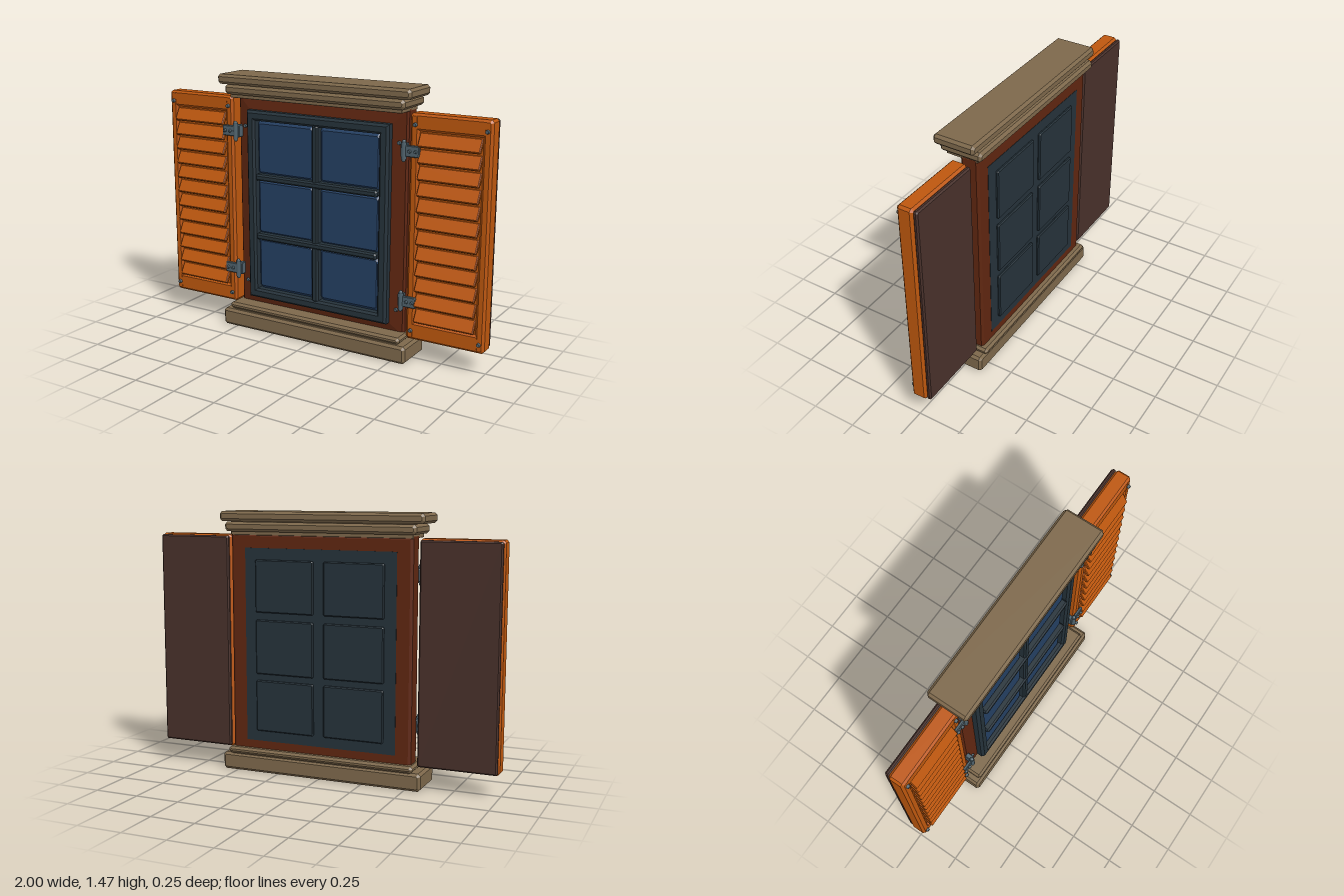
import * as THREE from 'three';

const mat = (name, color) => {
  const m = new THREE.MeshStandardMaterial({ color });
  m.name = name;
  return m;
};

// Box with chamfered edges, centred on the origin
function chamferBox(w, h, d, c) {
  const s = new THREE.Shape();
  const x = w / 2, y = h / 2, k = c;
  s.moveTo(-x + k, -y).lineTo(x - k, -y).lineTo(x, -y + k).lineTo(x, y - k);
  s.lineTo(x - k, y).lineTo(-x + k, y).lineTo(-x, y - k).lineTo(-x, -y + k);
  s.closePath();
  const g = new THREE.ExtrudeGeometry(s, {
    depth: d - 2 * c, bevelEnabled: true, bevelThickness: c, bevelSize: c, bevelOffset: -c, bevelSegments: 1,
  });
  return g.translate(0, 0, -d / 2 + c);
}

// Mitred rectangular frame: closed loop of rings [half width, bottom, top, z]
function mitredFrame(rings) {
  const pos = [];
  const corners = rings.map(([w, y0, y1, z]) => [[-w, y0, z], [w, y0, z], [w, y1, z], [-w, y1, z]]);
  corners.forEach((ring, i) => {
    const next = corners[(i + 1) % corners.length];
    for (let k = 0; k < 4; k++) {
      const n = (k + 1) % 4;
      pos.push(...ring[k], ...ring[n], ...next[n], ...ring[k], ...next[n], ...next[k]);
    }
  });
  const g = new THREE.BufferGeometry();
  g.setAttribute('position', new THREE.Float32BufferAttribute(pos, 3));
  g.computeVertexNormals();
  return g;
}

export function createModel() {
  const stone = mat('stone', 0x7d684b);
  const orange = mat('orange wood', 0xbd570e);
  const brown = mat('red brown wood', 0x5f2610);
  const dark = mat('dark brown backing', 0x48302a);
  const slate = mat('dark slate paint', 0x25323a);
  const glass = mat('blue glass', 0x243f62);
  const metal = mat('grey metal', 0x4f626c);

  const model = new THREE.Group();
  model.name = 'shutteredWindow';
  const add = (parent, name, geo, material, x = 0, y = 0, z = 0) => {
    const m = new THREE.Mesh(geo, material);
    m.name = name;
    m.position.set(x, y, z);
    parent.add(m);
    return m;
  };
  // Box given by its limits
  const block = (parent, name, material, x0, x1, y0, y1, z0, z1, c) =>
    add(parent, name, chamferBox(x1 - x0, y1 - y0, z1 - z0, c), material,
      (x0 + x1) / 2, (y0 + y1) / 2, (z0 + z1) / 2);
  const bolt = (parent, name, x, y, z, r = 0.012, len = 0.014) =>
    add(parent, name, new THREE.CylinderGeometry(r * 0.75, r, len, 8).rotateX(Math.PI / 2), metal, x, y, z + len / 2);

  // Stone lintel and sill, two courses each
  block(model, 'lintelCap', stone, -0.595, 0.595, 1.41, 1.465, -0.11, 0.125, 0.014);
  block(model, 'lintelBase', stone, -0.555, 0.555, 1.355, 1.408, -0.123, 0.115, 0.014);
  block(model, 'sillLedge', stone, -0.55, 0.55, 0.1, 0.137, -0.123, 0.112, 0.013);
  block(model, 'sillBase', stone, -0.59, 0.59, 0, 0.098, -0.11, 0.125, 0.014);
  block(model, 'sillJoint', stone, -0.53, 0.53, 0.09, 0.11, -0.1, 0.1, 0.002);
  block(model, 'lintelJoint', stone, -0.53, 0.53, 1.335, 1.42, -0.09, 0.09, 0.002);

  // Outer mitred window frame
  add(model, 'outerFrame', mitredFrame([
    [0.53, 0.11, 1.345, -0.078], [0.53, 0.11, 1.345, 0.0], [0.52, 0.12, 1.335, 0.012],
    [0.44, 0.185, 1.26, 0.025], [0.44, 0.185, 1.26, -0.088], [0.515, 0.125, 1.33, -0.088],
  ]), brown);
  for (const s of [-1, 1]) for (const y of [0.26, 1.17]) bolt(model, 'frameBolt', s * 0.483, y, 0.014);

  // Sash with back board
  add(model, 'sash', mitredFrame([
    [0.445, 0.18, 1.268, -0.08], [0.445, 0.18, 1.268, 0.055], [0.432, 0.193, 1.255, 0.07],
    [0.402, 0.223, 1.225, 0.07], [0.39, 0.235, 1.213, 0.058], [0.39, 0.235, 1.213, -0.08],
  ]), slate);
  add(model, 'sashBack', new THREE.BoxGeometry(0.886, 1.084, 0.1), slate, 0, 0.724, -0.04);

  // Panes in front, matching raised panels behind
  const rows = [[0.235, 0.54], [0.56, 0.88], [0.905, 1.213]];
  for (const [y0, y1] of rows) {
    for (const s of [-1, 1]) {
      const a = s < 0 ? -0.392 : 0.015, b = s < 0 ? -0.015 : 0.392;
      block(model, 'pane', glass, a, b, y0, y1, 0, 0.042, 0.018);
      block(model, 'backPanel', slate, a + 0.015, b - 0.015, y0 + 0.006, y1 - 0.01, -0.104, -0.085, 0.006);
    }
  }

  // Glazing bars
  block(model, 'verticalBar', slate, -0.02, 0.02, 0.225, 1.222, 0, 0.068, 0.009);
  for (const y of [0.552, 0.895]) block(model, 'horizontalBar', slate, -0.385, 0.385, y - 0.018, y + 0.018, 0, 0.074, 0.009);

  // One open louvred shutter on each side
  for (const s of [-1, 1]) {
    const shutter = new THREE.Group();
    shutter.name = s > 0 ? 'leftShutter' : 'rightShutter';
    model.add(shutter);
    const part = (name, material, x0, x1, y0, y1, z0, z1, c) =>
      block(shutter, name, material, Math.min(s * x0, s * x1), Math.max(s * x0, s * x1), y0, y1, z0, z1, c);

    part('panel', orange, 0.59, 0.97, 0.18, 1.28, -0.045, 0.026, 0.003);
    part('innerStile', orange, 0.553, 0.605, 0.12, 1.335, -0.048, 0.042, 0.013);
    part('outerStile', orange, 0.948, 1.0, 0.12, 1.335, -0.048, 0.042, 0.013);
    part('bottomRail', orange, 0.56, 0.993, 0.12, 0.218, -0.048, 0.041, 0.012);
    part('topRail', orange, 0.56, 0.993, 1.245, 1.335, -0.048, 0.041, 0.012);
    part('backing', dark, 0.56, 0.993, 0.127, 1.328, -0.072, -0.046, 0.008);

    // Slats lean out at the bottom
    for (let i = 0; i < 12; i++) {
      const slat = add(shutter, 'slat', chamferBox(0.338, 0.076, 0.022, 0.004), orange,
        s * 0.777, 0.217 + (i + 0.5) * 0.0856, 0.042);
      slat.rotation.x = -0.5;
    }
    for (const x of [0.583, 0.972]) for (const y of [0.17, 1.277]) bolt(shutter, 'shutterBolt', s * x, y, 0.041);

    // Hinges
    for (const y of [0.33, 1.14]) {
      part('hingeLeaf', metal, 0.525, 0.615, y - 0.03, y + 0.03, 0.04, 0.058, 0.004);
      part('hingeFrameLeaf', metal, 0.505, 0.535, y - 0.035, y + 0.035, 0.008, 0.05, 0.004);
      add(shutter, 'hingePin', new THREE.CylinderGeometry(0.014, 0.014, 0.09, 10), metal, s * 0.527, y, 0.053);
      for (const e of [-1, 1]) add(shutter, 'hingeKnob', new THREE.SphereGeometry(0.011, 10, 6), metal, s * 0.527, y + e * 0.048, 0.053);
      for (const x of [0.562, 0.595]) bolt(shutter, 'hingeRivet', s * x, y, 0.057, 0.01, 0.012);
    }
  }
  return model;
}
